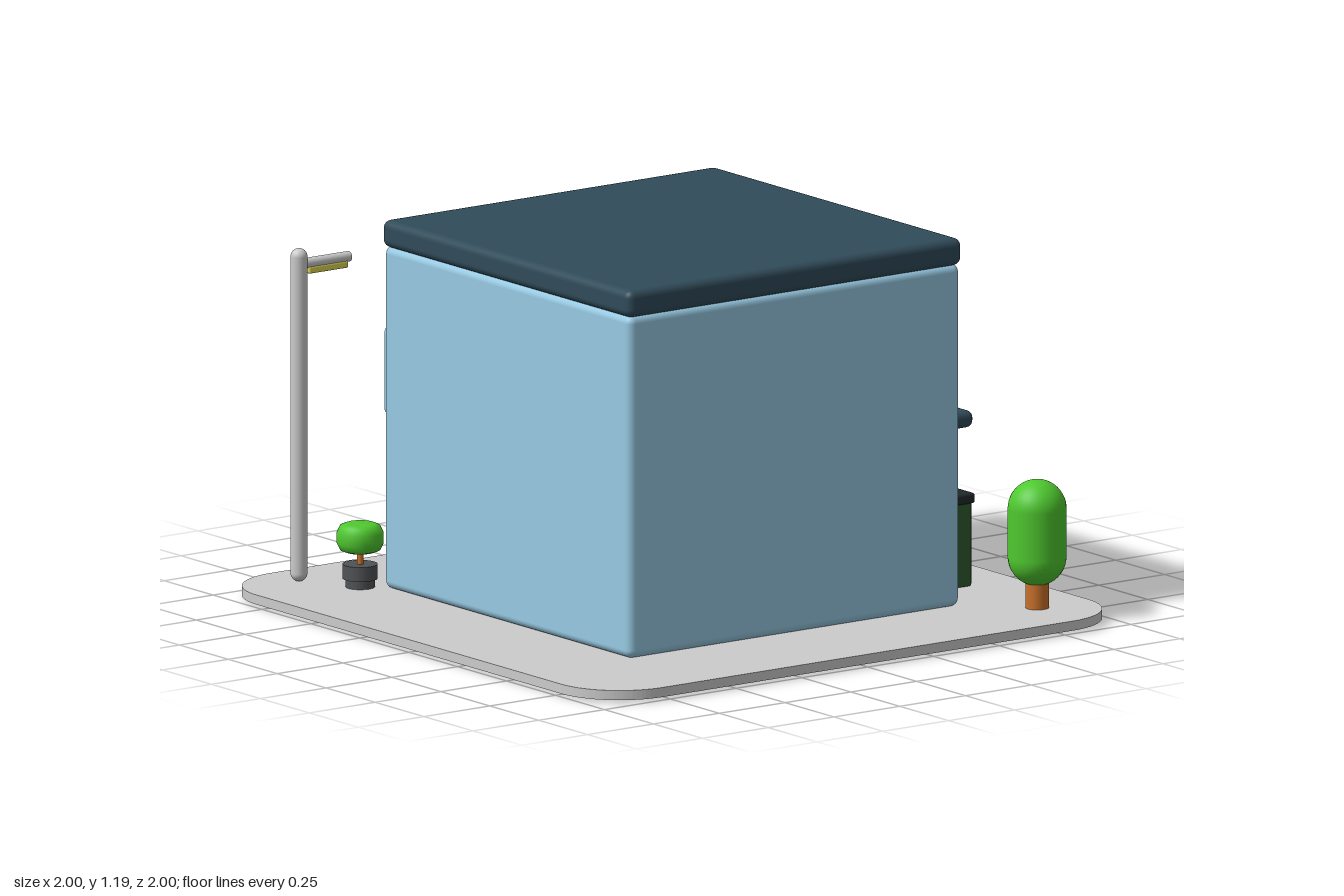
import * as THREE from 'three';
import { RoundedBoxGeometry } from 'three/addons/geometries/RoundedBoxGeometry.js';

const mat = (color) => new THREE.MeshStandardMaterial({ color });
const M = {
  grey: mat(0xcccccc), wall: mat(0x97c9e2), roof: mat(0x304b59), trim: mat(0xd6bfb8),
  red: mat(0xe85c56), yellow: mat(0xdfd653), leaf: mat(0x4fc92f), trunk: mat(0xc8702a),
  bin: mat(0x2f5a30), dark: mat(0x20282a), pot: mat(0x505356), pipe: mat(0x77797c),
};

function add(parent, name, geo, material, x = 0, y = 0, z = 0) {
  const m = new THREE.Mesh(geo, material);
  m.name = name;
  m.position.set(x, y, z);
  parent.add(m);
  return m;
}

// Rounded box given by its extents on each axis
function box(parent, name, material, [x0, x1], [y0, y1], [z0, z1], r = 0.008) {
  const geo = new RoundedBoxGeometry(x1 - x0, y1 - y0, z1 - z0, 3, r);
  return add(parent, name, geo, material, (x0 + x1) / 2, (y0 + y1) / 2, (z0 + z1) / 2);
}

const cyl = (r0, r1, h, n = 24) => new THREE.CylinderGeometry(r0, r1, h, n);

function roundRect(path, w, h, r) {
  const x = w / 2, y = h / 2;
  path.moveTo(-x + r, -y);
  path.lineTo(x - r, -y);
  path.absarc(x - r, -y + r, r, -Math.PI / 2, 0);
  path.lineTo(x, y - r);
  path.absarc(x - r, y - r, r, 0, Math.PI / 2);
  path.lineTo(-x + r, y);
  path.absarc(-x + r, y - r, r, Math.PI / 2, Math.PI);
  path.lineTo(-x, -y + r);
  path.absarc(-x + r, -y + r, r, Math.PI, Math.PI * 1.5);
  return path;
}

// Rounded rectangular ring with bevelled edges, from z = 0 to z = d
function ring(w, h, d, t, r, bevel = 0.008) {
  const s = roundRect(new THREE.Shape(), w - 2 * bevel, h - 2 * bevel, r);
  s.holes.push(roundRect(new THREE.Path(), w - 2 * t + 2 * bevel, h - 2 * t + 2 * bevel, Math.max(r - t / 2, 0.006)));
  return new THREE.ExtrudeGeometry(s, {
    depth: d - 2 * bevel, bevelThickness: bevel, bevelSize: bevel, bevelSegments: 3, curveSegments: 8,
  }).translate(0, 0, bevel);
}

// Frame around a recessed panel, facing local +z
function framed(parent, name, material, w, h, d, t) {
  const g = new THREE.Group();
  g.name = name;
  add(g, name + 'Frame', ring(w, h, d, t, 0.012), material);
  box(g, name + 'Panel', material, [-w / 2 + t / 2, w / 2 - t / 2], [-h / 2 + t / 2, h / 2 - t / 2], [0, d * 0.5], 0.004);
  parent.add(g);
  return g;
}

const BACK = Math.PI, SIDE = -Math.PI / 2;
function place(g, x, y, z, ry) {
  g.position.set(x, y, z);
  g.rotation.y = ry;
  return g;
}

export function createModel() {
  const root = new THREE.Group();
  root.name = 'house';

  // Ground slab
  const slab = new THREE.ExtrudeGeometry(roundRect(new THREE.Shape(), 2, 2, 0.22),
    { depth: 0.03, bevelEnabled: false, curveSegments: 12 });
  slab.rotateX(-Math.PI / 2);
  add(root, 'groundSlab', slab, M.grey, 0, 0.01, 0);

  // Main body and roof
  box(root, 'walls', M.wall, [-0.63, 0.63], [0.04, 1.11], [-0.63, 0.63], 0.025);
  box(root, 'roof', M.roof, [-0.635, 0.635], [1.105, 1.19], [-0.635, 0.635], 0.025);

  // Back wall: wide window, awning, small plate
  place(framed(root, 'backWindow', M.trim, 0.82, 0.32, 0.055, 0.035), 0, 0.84, -0.628, BACK);
  box(root, 'awning', M.roof, [-0.41, 0.41], [0.53, 0.583], [-0.847, -0.62], 0.022);
  box(root, 'wallPlate', M.grey, [-0.55, -0.46], [0.58, 0.64], [-0.645, -0.62], 0.004);
  box(root, 'wallPlateSlot', M.pot, [-0.535, -0.5], [0.6, 0.62], [-0.648, -0.63], 0.002);

  // Drain pipe with joints and an elbow into the wall
  const px = 0.52, pz = -0.665;
  add(root, 'drainPipe', cyl(0.017, 0.017, 0.81), M.pipe, px, 0.445, pz);
  for (const y of [0.62, 0.845]) {
    add(root, 'pipeJoint', cyl(0.028, 0.028, 0.03), M.pipe, px, y, pz);
  }
  for (const y of [0.36, 0.62, 0.83]) {
    add(root, 'pipeBracket', cyl(0.012, 0.012, 0.06), M.pipe, px, y, -0.645).rotation.x = Math.PI / 2;
  }

  // Rubbish bin
  box(root, 'bin', M.bin, [0.285, 0.425], [0.04, 0.31], [-0.825, -0.645]);
  box(root, 'binLid', M.dark, [0.275, 0.433], [0.3, 0.332], [-0.832, -0.645]);

  // Two-sided projecting sign
  const sign = new THREE.Group();
  sign.name = 'sign';
  root.add(sign);
  add(sign, 'signFrame', ring(0.265, 0.36, 0.066, 0.035, 0.02), M.yellow, -0.447, 0.28, -0.802).rotation.y = SIDE;
  box(sign, 'signPanel', M.yellow, [-0.495, -0.465], [0.12, 0.44], [-0.915, -0.69], 0.004);
  for (const y of [0.17, 0.39]) {
    box(sign, 'signBracket', M.pipe, [-0.5, -0.46], [y - 0.012, y + 0.012], [-0.68, -0.62], 0.004);
  }

  // Balcony: rounded tray open at the top
  const rail = ring(0.38, 1, 0.265, 0.045, 0.06, 0.012);
  rail.rotateX(-Math.PI / 2);
  add(root, 'balconyRail', rail, M.wall, -0.655, 0.535, 0);
  box(root, 'balconyFloor', M.wall, [-0.825, -0.6], [0.537, 0.585], [-0.48, 0.48], 0.01);

  // Balcony sliding door
  const door = framed(root, 'balconyDoor', M.trim, 0.45, 0.47, 0.05, 0.03);
  for (const s of [-1, 1]) {
    add(door, 'doorLeaf', ring(0.205, 0.42, 0.04, 0.03, 0.01, 0.005), M.trim, s * 0.1, 0, 0);
  }
  box(door, 'doorHandle', M.pot, [-0.115 + 0.02, -0.08 + 0.02].map((v) => v - 0.11), [0.05 - 0.09, 0.05], [0.03, 0.057], 0.004);
  place(door, -0.628, 0.805, 0.125, SIDE);

  // Small wall unit with fan grilles
  box(root, 'wallUnit', M.trim, [-0.68, -0.61], [0.85, 0.95], [-0.39, -0.22], 0.008);
  for (const z of [-0.35, -0.265]) {
    box(root, 'wallUnitGrille', M.pipe, [-0.685, -0.66], [0.872, 0.928], [z - 0.027, z + 0.027], 0.004);
  }

  // Lower side window
  place(framed(root, 'sideWindow', M.trim, 0.24, 0.275, 0.04, 0.03), -0.628, 0.275, -0.39, SIDE);

  // Vending machine
  const vm = new THREE.Group();
  vm.name = 'vendingMachine';
  root.add(vm);
  box(vm, 'machineBody', M.red, [-0.815, -0.62], [0.04, 0.41], [0.2, 0.46], 0.01);
  place(framed(vm, 'machineDisplay', M.red, 0.18, 0.2, 0.014, 0.02), -0.813, 0.28, 0.335, SIDE);
  box(vm, 'machineSlot', M.pot, [-0.822, -0.8], [0.09, 0.135], [0.265, 0.405], 0.004);
  box(vm, 'machineButtons', M.pot, [-0.822, -0.8], [0.25, 0.3], [0.43, 0.447], 0.003);

  // Street lamp
  add(root, 'lampPole', new THREE.CapsuleGeometry(0.026, 0.988, 8, 24), M.grey, -0.857, 0.56, 0.78);
  add(root, 'lampArm', cyl(0.016, 0.016, 0.19), M.grey, -0.857, 1.03, 0.685).rotation.x = Math.PI / 2;
  box(root, 'lampLight', M.yellow, [-0.87, -0.844], [0.997, 1.02], [0.6, 0.75], 0.006);

  // Tree
  add(root, 'treeTrunk', cyl(0.036, 0.036, 0.1), M.trunk, 0.783, 0.09, -0.805);
  add(root, 'treeCrown', new THREE.CapsuleGeometry(0.09, 0.15, 12, 32), M.leaf, 0.783, 0.275, -0.805);

  // Bush with a domed top, set into the slab
  const dome = [new THREE.Vector2(0, 0), new THREE.Vector2(0.078, 0), new THREE.Vector2(0.09, 0.03)];
  for (let i = 0; i <= 10; i++) {
    const a = (i / 10) * Math.PI / 2;
    dome.push(new THREE.Vector2(0.092 * Math.cos(a), 0.075 + 0.092 * Math.sin(a)));
  }
  add(root, 'bush', new THREE.LatheGeometry(dome, 32), M.leaf, -0.76, 0, -0.82);

  // Potted plant
  const plant = new THREE.Group();
  plant.name = 'pottedPlant';
  plant.position.set(-0.683, 0, 0.677);
  root.add(plant);
  add(plant, 'potBase', cyl(0.045, 0.045, 0.04), M.pot, 0, 0.055, 0);
  add(plant, 'potRim', cyl(0.054, 0.054, 0.045), M.pot, 0, 0.089, 0);
  add(plant, 'plantStem', cyl(0.01, 0.01, 0.06), M.trunk, 0, 0.135, 0);
  const crown = [[0, 0.15], [0.045, 0.15], [0.062, 0.157], [0.072, 0.178], [0.072, 0.21], [0.062, 0.231], [0.045, 0.238], [0, 0.238]];
  add(plant, 'plantCrown', new THREE.LatheGeometry(crown.map((p) => new THREE.Vector2(...p)), 32), M.leaf);

  return root;
}
